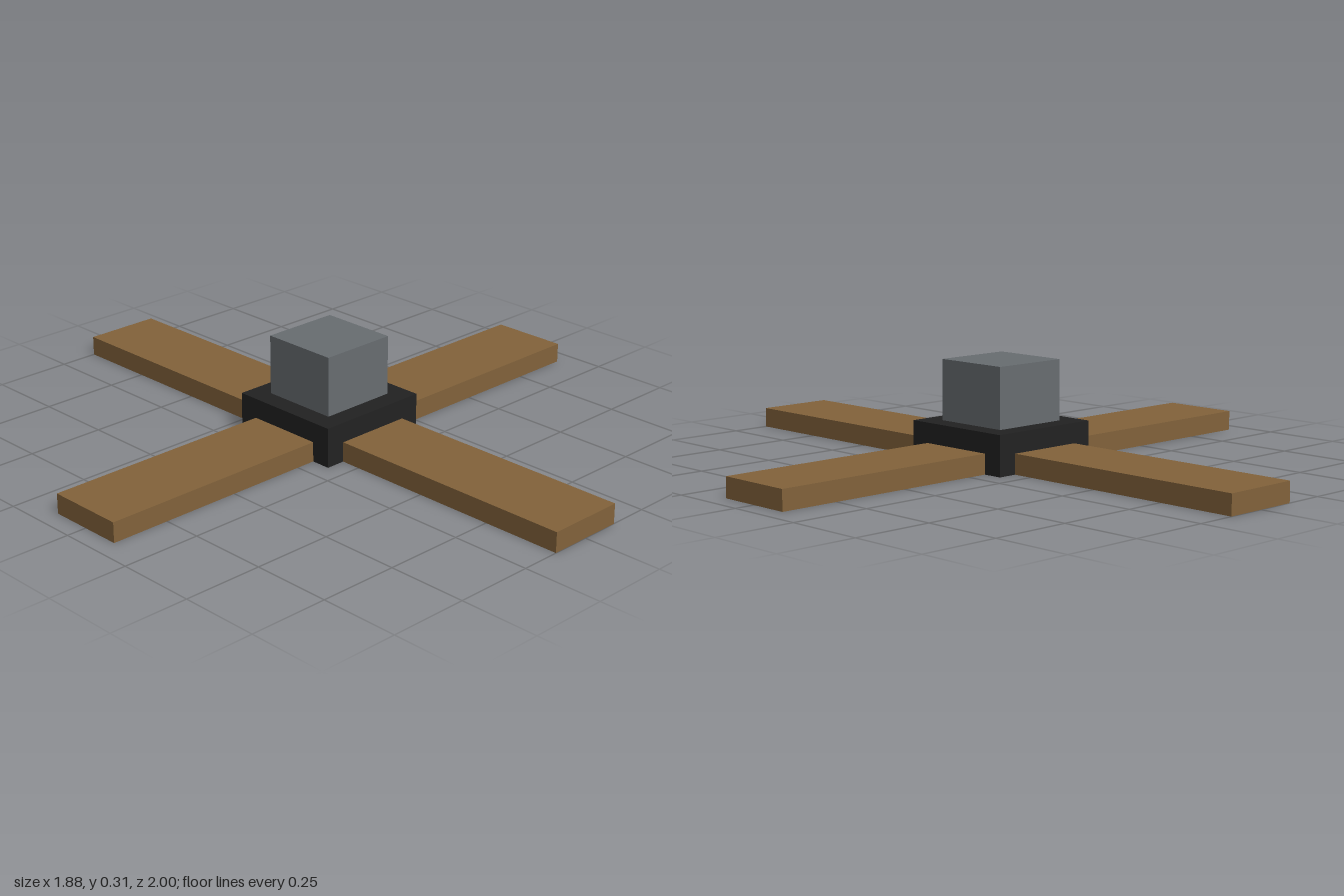
import * as THREE from 'three';

const material = (name, color) => {
  const m = new THREE.MeshStandardMaterial({ color });
  m.name = name;
  return m;
};

// Box standing on height y
function block(name, w, h, d, x, y, z, mat) {
  const mesh = new THREE.Mesh(new THREE.BoxGeometry(w, h, d), mat);
  mesh.name = name;
  mesh.position.set(x, y + h / 2, z);
  return mesh;
}

export function createModel() {
  const wood = material('brown wood', 0x83633b);
  const iron = material('black iron', 0x222222);
  const steel = material('grey steel', 0x686d71);

  const group = new THREE.Group();
  group.name = 'crossBase';

  const hubHalf = 0.1875, plankWidth = 0.25, plankHeight = 0.0625;

  // Central hub and the cube on top of it
  group.add(block('hub', hubHalf * 2, 0.125, hubHalf * 2, 0, 0, 0, iron));
  group.add(block('topCube', 0.25, 0.1875, 0.25, 0, 0.125, 0, steel));

  // Four plank arms butting against the hub; the z pair is slightly longer
  const reachX = 0.9375, reachZ = 1;
  for (const s of [1, -1]) {
    group.add(block(s > 0 ? 'leftArm' : 'rightArm', reachX - hubHalf, plankHeight, plankWidth,
      s * (reachX + hubHalf) / 2, 0, 0, wood));
    group.add(block(s > 0 ? 'frontArm' : 'backArm', plankWidth, plankHeight, reachZ - hubHalf,
      0, 0, s * (reachZ + hubHalf) / 2, wood));
  }
  return group;
}
